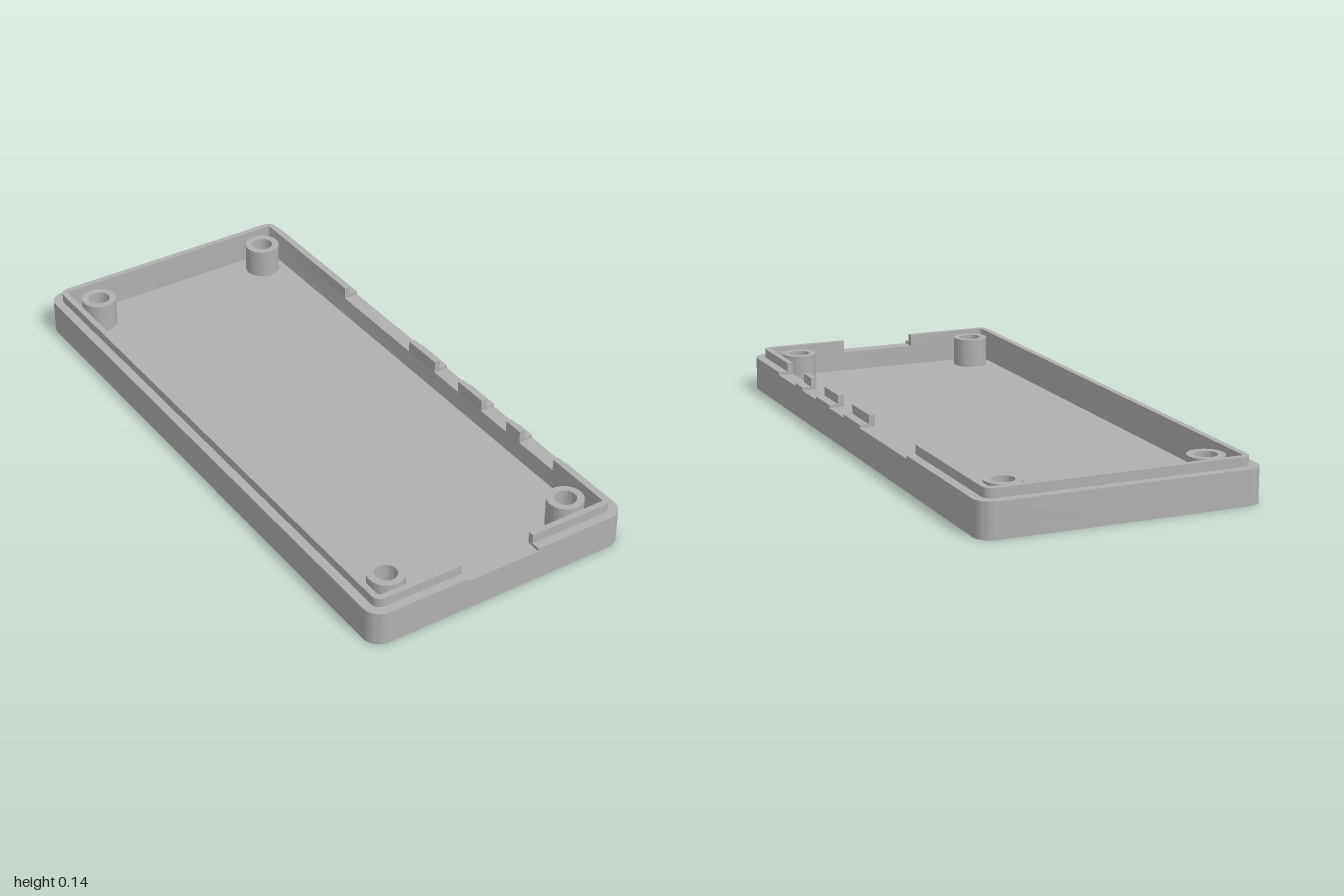
import * as THREE from 'three';
import { toCreasedNormals } from 'three/addons/utils/BufferGeometryUtils.js';

// Half width, half depth and corner radius of each nested outline
const OUTER = [0.455, 1.0, 0.055];
const LIP = [0.425, 0.97, 0.03];
const INNER = [0.405, 0.95, 0.008];

const FLOOR = 0.036, NOTCH = 0.102, LEDGE = 0.112, TOP = 0.142, POST_TOP = 0.134;

// Rounded corner points; quadrants run counter-clockwise from (+x, +z)
function corner([hw, hd, r], q) {
  const sx = q === 0 || q === 3 ? 1 : -1, sz = q < 2 ? 1 : -1;
  const pts = [];
  for (let i = 0; i <= 10; i++) {
    const a = (q + i / 10) * Math.PI / 2;
    pts.push(new THREE.Vector2(sx * (hw - r) + r * Math.cos(a), sz * (hd - r) + r * Math.sin(a)));
  }
  return pts;
}

const loop = (dims) => [0, 1, 2, 3].flatMap((q) => corner(dims, q));

function circle(x, z, r) {
  return new THREE.Path().absarc(x, z, r, 0, Math.PI * 2, true);
}

// Extrude a plan shape (x, z) upward from y0 to y1
function slab(shape, y0, y1) {
  const g = new THREE.ExtrudeGeometry(shape, { depth: y1 - y0, bevelEnabled: false, curveSegments: 32 });
  g.rotateX(Math.PI / 2).translate(0, y1, 0);
  return toCreasedNormals(g, 0.6);
}

// Wall stretches left standing between the notches.
// Each end is [side, position]: on the +x side or on the front.
const STRETCHES = [
  { start: ['front', -0.128], quads: [1, 2, 3], end: ['side', -0.457] },
  { start: ['side', -0.07], quads: [], end: ['side', 0.077] },
  { start: ['side', 0.207], quads: [], end: ['side', 0.335] },
  { start: ['side', 0.467], quads: [], end: ['side', 0.537] },
  { start: ['side', 0.707], quads: [0], end: ['front', 0.128] },
];

function stretchShape({ start, quads, end }, outer) {
  const at = ([side, p], [hw, hd]) =>
    side === 'front' ? new THREE.Vector2(p, hd) : new THREE.Vector2(hw, p);
  const line = (d) => [at(start, d), ...quads.flatMap((q) => corner(d, q)), at(end, d)];
  return new THREE.Shape([...line(outer), ...line(INNER).reverse()]);
}

export function createModel() {
  const group = new THREE.Group();
  const plastic = new THREE.MeshStandardMaterial({ color: 0xb0b0b0 });
  plastic.name = 'grey plastic';
  const add = (name, geometry) => {
    const mesh = new THREE.Mesh(geometry, plastic);
    mesh.name = name;
    group.add(mesh);
  };

  const posts = [];
  for (const x of [-0.326, 0.326]) for (const z of [-0.87, 0.87]) posts.push([x, z]);

  // Floor with wide screw-head recesses
  const floor = new THREE.Shape(loop(OUTER));
  for (const [x, z] of posts) floor.holes.push(circle(x, z, 0.054));
  add('floor', slab(floor, 0, FLOOR));

  // Continuous wall below the notches
  const wall = new THREE.Shape(loop(OUTER));
  wall.holes.push(new THREE.Path(loop(INNER).reverse()));
  add('lowerWall', slab(wall, FLOOR, NOTCH));

  // Notched wall top and the stepped lip above it
  for (const s of STRETCHES) {
    add('upperWall', slab(stretchShape(s, OUTER), NOTCH, LEDGE));
    add('lip', slab(stretchShape(s, LIP), LEDGE, TOP));
  }

  // Hollow screw posts
  for (const [x, z] of posts) {
    const ring = new THREE.Shape().absarc(x, z, 0.058, 0, Math.PI * 2, false);
    ring.holes.push(circle(x, z, 0.035));
    add('screwPost', slab(ring, FLOOR, POST_TOP));
  }
  return group;
}
